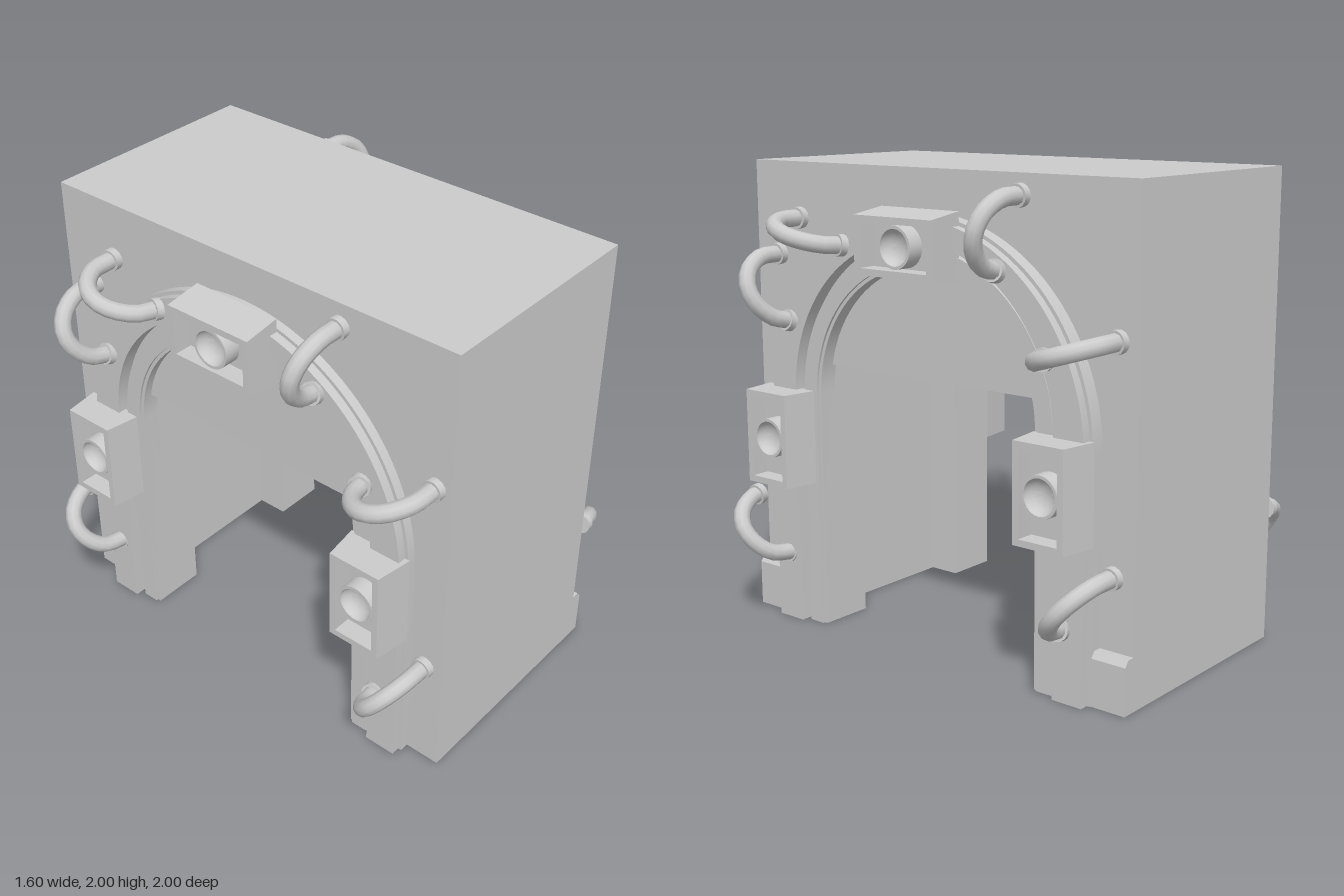
import * as THREE from 'three';
import { toCreasedNormals } from 'three/addons/utils/BufferGeometryUtils.js';

const grey = new THREE.MeshStandardMaterial({ color: 0xcccccc });
const dish = new THREE.MeshStandardMaterial({ color: 0xcccccc, side: THREE.DoubleSide });

function add(parent, name, geometry, material = grey) {
  const mesh = new THREE.Mesh(geometry, material);
  mesh.name = name;
  parent.add(mesh);
  return mesh;
}

// Box given by its limits on each axis
function boxBetween(x0, x1, y0, y1, z0, z1) {
  return new THREE.BoxGeometry(x1 - x0, y1 - y0, z1 - z0)
    .translate((x0 + x1) / 2, (y0 + y1) / 2, (z0 + z1) / 2);
}

// Upside-down U band, extruded outward along x
function archBand(outer, outerY, inner, innerY, x0, x1) {
  const s = new THREE.Shape();
  s.moveTo(-outer, 0);
  s.lineTo(-outer, outerY);
  s.absarc(0, outerY, outer, Math.PI, 0, true);
  s.lineTo(outer, 0);
  s.lineTo(inner, 0);
  s.lineTo(inner, innerY);
  s.absarc(0, innerY, inner, 0, Math.PI, false);
  s.lineTo(-inner, 0);
  const g = new THREE.ExtrudeGeometry(s, { depth: x1 - x0, bevelEnabled: false, curveSegments: 32 });
  g.rotateY(Math.PI / 2).translate(x0, 0, 0);
  return toCreasedNormals(g, 0.5);
}

function rectPath(path, w, h) {
  path.moveTo(-w / 2, -h / 2);
  path.lineTo(w / 2, -h / 2);
  path.lineTo(w / 2, h / 2);
  path.lineTo(-w / 2, h / 2);
  path.closePath();
  return path;
}

// Lamp: open-fronted housing that flares toward the wall, with a dished lens
function lamp(y, z, turn) {
  const group = new THREE.Group();
  group.name = 'lamp';
  const depth = 0.16;
  const shape = rectPath(new THREE.Shape(), 0.235, 0.405);
  shape.holes.push(rectPath(new THREE.Path(), 0.18, 0.35));
  const rim = new THREE.ExtrudeGeometry(shape, { depth, bevelEnabled: false });
  const p = rim.attributes.position;
  for (let i = 0; i < p.count; i++) {
    if (p.getZ(i) < 0.01 && Math.abs(p.getX(i)) > 0.1) p.setX(i, p.getX(i) * 1.2);
  }
  rim.computeVertexNormals();
  add(group, 'lampHousing', rim);
  add(group, 'lampBackPlate', boxBetween(-0.1, 0.1, -0.19, 0.19, 0.002, 0.08));
  const profile = [[0.085, 0.07], [0.085, 0.15], [0.073, 0.15], [0.07, 0.135], [0.055, 0.115], [0.03, 0.103], [0, 0.1]]
    .map(([r, h]) => new THREE.Vector2(r, h));
  const lens = new THREE.LatheGeometry(profile, 28).rotateX(Math.PI / 2);
  add(group, 'lampLens', toCreasedNormals(lens, 0.6), dish);
  group.rotation.set(0, Math.PI / 2, turn, 'YXZ');
  group.position.set(0.55, y, z);
  return group;
}

// Looped cable between two wall points given as [x, y, z], with end collars
function cable(a, b) {
  const group = new THREE.Group();
  group.name = 'cable';
  const from = new THREE.Vector3(...a);
  const to = new THREE.Vector3(...b);
  const at = (x, t) => from.clone().lerp(to, t).setX(x);
  const path = new THREE.CatmullRomCurve3([
    from, at(0.65, 0.02), at(0.735, 0.2), at(0.765, 0.45), at(0.745, 0.7), at(0.68, 0.92), to,
  ]);
  add(group, 'cableTube', new THREE.TubeGeometry(path, 14, 0.036, 10));
  for (const [end, t] of [[from, 0], [to, 1]]) {
    const collar = add(group, 'cableCollar', toCreasedNormals(new THREE.CylinderGeometry(0.046, 0.046, 0.03, 14), 0.6));
    collar.position.copy(end);
    collar.quaternion.setFromUnitVectors(new THREE.Vector3(0, 1, 0), path.getTangentAt(t));
  }
  return group;
}

// Everything mounted on one arched face
function archSide() {
  const side = new THREE.Group();
  side.name = 'archSide';
  add(side, 'outerArch', archBand(0.845, 0.985, 0.69, 1.035, 0.47, 0.55));
  add(side, 'outerArchFace', archBand(0.83, 0.985, 0.69, 1.035, 0.55, 0.588));
  add(side, 'archGroove', archBand(0.69, 1.035, 0.665, 1.035, 0.47, 0.525));
  add(side, 'innerArch', archBand(0.665, 1.035, 0.59, 1.035, 0.47, 0.56));
  add(side, 'innerArchLip', archBand(0.59, 1.035, 0.575, 1.035, 0.47, 0.55));

  side.add(lamp(0.837, 0.75, 0), lamp(0.837, -0.71, 0), lamp(1.705, 0, Math.PI / 2));

  side.add(
    cable([0.545, 1.61, 0.82], [0.6, 1.34, 0.71]),
    cable([0.545, 1.77, 0.69], [0.6, 1.68, 0.39]),
    cable([0.545, 1.92, -0.49], [0.6, 1.64, -0.42]),
    cable([0.545, 1.42, -0.94], [0.6, 1.33, -0.65]),
    cable([0.61, 0.54, 0.93], [0.57, 0.3, 0.76]),
    cable([0.545, 0.53, -0.93], [0.6, 0.3, -0.73]),
  );
  return side;
}

export function createModel() {
  const model = new THREE.Group();
  model.name = 'archedGateBlock';

  // Main block: solid top over two legs
  add(model, 'upperBlock', boxBetween(-0.51, 0.49, 1.15, 2, -1, 1));
  for (const s of [1, -1]) {
    // Leg plan with a recess between the two door jambs
    const plan = new THREE.Shape([
      [-0.51, 1], [-0.51, 0.575], [-0.31, 0.575], [-0.31, 0.72],
      [0.31, 0.72], [0.31, 0.575], [0.49, 0.575], [0.49, 1],
    ].map(([x, z]) => new THREE.Vector2(x, -s * z)));
    const leg = new THREE.ExtrudeGeometry(plan, { depth: 1.15, bevelEnabled: false });
    add(model, 'leg', leg.rotateX(-Math.PI / 2));

    // Corner plinth with a chamfered top edge
    const section = new THREE.Shape([
      [0.48, 0], [0.545, 0], [0.545, 0.195], [0.525, 0.22], [0.48, 0.22],
    ].map(([x, y]) => new THREE.Vector2(x, y)));
    const plinth = new THREE.ExtrudeGeometry(section, { depth: 0.165, bevelEnabled: false });
    add(model, 'plinth', plinth.translate(0, 0, s > 0 ? 0.835 : -1));
  }

  // Same arched face on both sides, turned half round
  for (const angle of [0, Math.PI]) {
    const side = archSide();
    side.rotation.y = angle;
    model.add(side);
  }
  return model;
}
